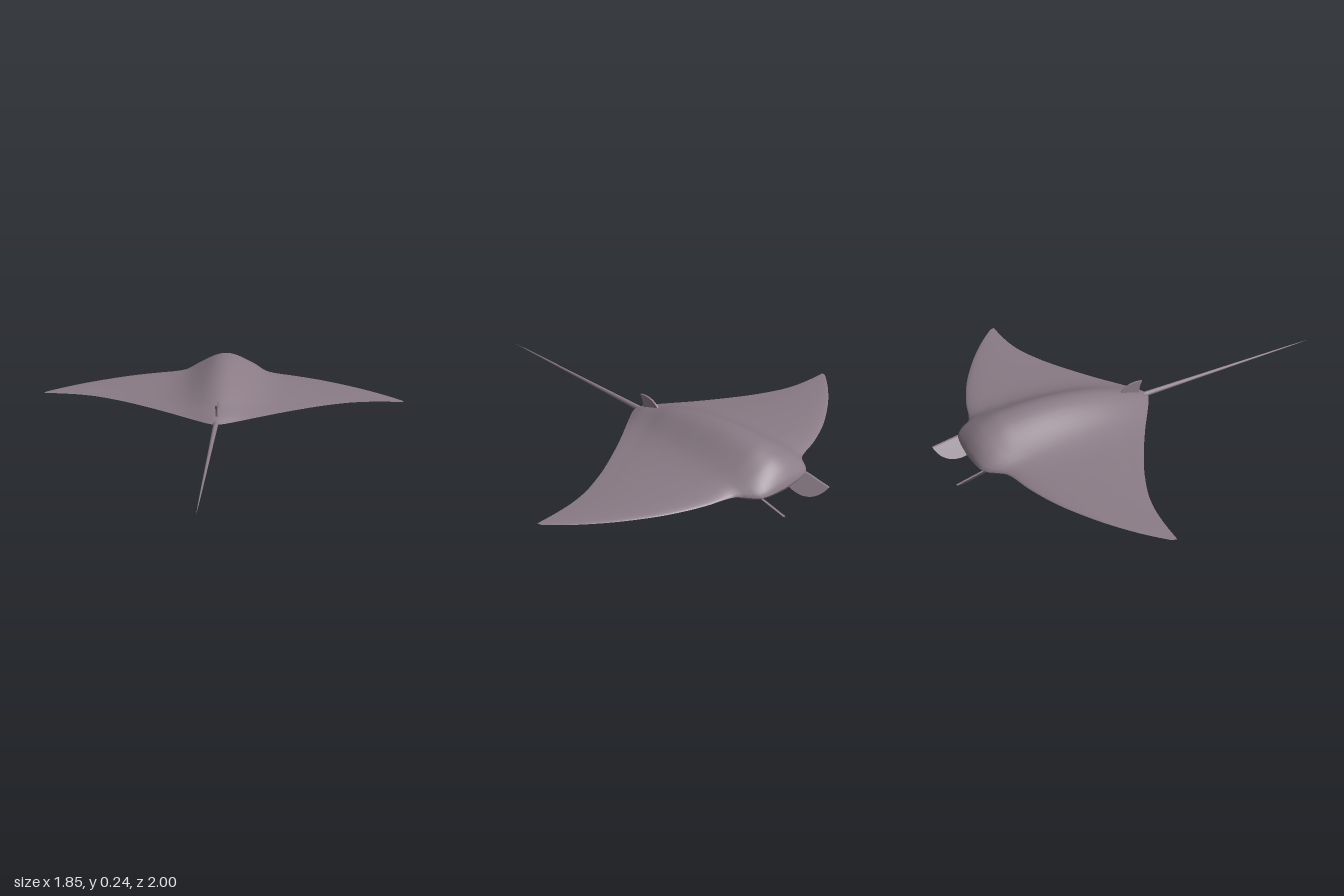
import * as THREE from 'three';

// Smooth monotone curve through [x, y] points, flat at both ends
function curve(pts) {
  const n = pts.length;
  const d = pts.slice(1).map((p, i) => (p[1] - pts[i][1]) / (p[0] - pts[i][0]));
  const m = pts.map((p, i) => {
    if (i === 0 || i === n - 1) return d[Math.min(i, n - 2)];
    const a = d[i - 1], b = d[i];
    return a * b > 0 ? (2 * a * b) / (a + b) : 0;
  });
  return (x) => {
    let i = 0;
    while (i < n - 2 && x > pts[i + 1][0]) i++;
    const [x0, y0] = pts[i], [x1, y1] = pts[i + 1], h = x1 - x0;
    const t = THREE.MathUtils.clamp((x - x0) / h, 0, 1), s = 1 - t;
    return y0 * s * s * (1 + 2 * t) + y1 * t * t * (3 - 2 * t) + h * t * s * (m[i] * s - m[i + 1] * t);
  };
}

const SPAN = 0.925, MID = 0.1;

// Plan outline of the head and wings, as z against distance from the centre
const leading = curve([[0, -0.895], [0.08, -0.89], [0.13, -0.882], [0.155, -0.872], [0.185, -0.835], [0.22, -0.795],
  [0.36, -0.752], [0.5, -0.695], [0.67, -0.597], [0.8, -0.502], [0.9, -0.412], [0.92, -0.39], [SPAN, -0.372]]);
const trailing = curve([[0, 0.03], [0.03, 0.02], [0.11, -0.03], [0.24, -0.12], [0.4, -0.22], [0.53, -0.29],
  [0.67, -0.345], [0.77, -0.364], [0.86, -0.37], [SPAN, -0.371]]);

// Thickness across the span, above and below the middle plane
const rise = curve([[0, 0.141], [0.02, 0.139], [0.05, 0.131], [0.1, 0.105], [0.15, 0.075], [0.2, 0.051], [0.25, 0.037],
  [0.3, 0.029], [0.4, 0.022], [0.6, 0.013], [0.8, 0.005], [SPAN, 0]]);
const drop = curve([[0, 0.096], [0.02, 0.094], [0.05, 0.087], [0.1, 0.07], [0.15, 0.05], [0.2, 0.035], [0.3, 0.022],
  [0.4, 0.017], [0.6, 0.01], [0.8, 0.004], [SPAN, 0]]);

// Section along the chord, from leading to trailing edge
const section = curve([[0, 0], [0.006, 0.14], [0.02, 0.3], [0.05, 0.53], [0.1, 0.75], [0.2, 0.95], [0.35, 1],
  [0.5, 0.94], [0.65, 0.78], [0.75, 0.62], [0.85, 0.39], [0.95, 0.17], [1, 0.01]]);

// One side of the body as a grid: dir is 1 for the back and -1 for the belly
function sheet(dir) {
  const cols = 120, rows = 48, geo = new THREE.PlaneGeometry(1, 1, cols, rows), pos = geo.attributes.position;
  for (let i = 0; i < pos.count; i++) {
    const s = (pos.getX(i) * 2) * dir;
    const x = SPAN * Math.sin((s * Math.PI) / 2), a = Math.min(Math.abs(x), SPAN);
    const v = 0.5 - pos.getY(i);
    const u = v * v * (2 - v); // finer rows at the leading edge
    const z = THREE.MathUtils.lerp(leading(a), trailing(a), u);
    pos.setXYZ(i, x, MID + dir * (dir > 0 ? rise(a) : drop(a)) * section(u), z);
  }
  geo.computeVertexNormals();
  return geo;
}

// Thin upright plate from a side outline in (-z, y)
function plate(shape, thickness) {
  const geo = new THREE.ExtrudeGeometry(shape, { depth: thickness, bevelEnabled: false, curveSegments: 12 });
  geo.translate(0, 0, -thickness / 2);
  geo.rotateY(Math.PI / 2);
  return geo;
}

export function createModel() {
  const group = new THREE.Group();
  const skin = new THREE.MeshStandardMaterial({ color: 0x8a7b85 });
  skin.name = 'greyMauve';
  const add = (name, geo) => {
    const mesh = new THREE.Mesh(geo, skin);
    mesh.name = name;
    group.add(mesh);
    return mesh;
  };

  // Head, body and wings
  add('upperBody', sheet(1));
  add('lowerBody', sheet(-1));

  // Whip tail
  const tailProfile = [[0, -0.06], [0.008, -0.04], [0.013, 0], [0.012, 0.08], [0.009, 0.3], [0.006, 0.6], [0.003, 0.87], [0, 1]];
  const tail = new THREE.LatheGeometry(tailProfile.map(([r, l]) => new THREE.Vector2(r, l)), 12);
  tail.rotateX(Math.PI / 2);
  tail.translate(0, MID, 0);
  add('tail', tail);

  // Small fin at the root of the tail
  const fin = new THREE.Shape();
  fin.moveTo(0.02, 0.105);
  fin.quadraticCurveTo(0.02, 0.15, 0, 0.185);
  fin.quadraticCurveTo(0.07, 0.2, 0.115, 0.155);
  fin.lineTo(0.12, 0.125);
  add('dorsalFin', plate(fin, 0.009));

  // Paired scoop fins beside the mouth, leaning inward towards the bottom
  const scoop = new THREE.Shape();
  scoop.moveTo(0.8, 0.085);
  scoop.lineTo(0.88, 0.097);
  scoop.lineTo(1, 0.075);
  scoop.bezierCurveTo(0.98, 0.025, 0.92, 0.006, 0.83, 0.04);
  const scoopGeo = plate(scoop, 0.01);
  const pos = scoopGeo.attributes.position;
  for (let i = 0; i < pos.count; i++) {
    const lean = 0.9 * (pos.getY(i) - 0.075) + 0.2 * (-pos.getZ(i) - 1);
    pos.setX(i, pos.getX(i) + 0.15 + lean);
  }
  scoopGeo.computeVertexNormals();
  add('leftMouthFin', scoopGeo);
  add('rightMouthFin', scoopGeo).scale.x = -1;

  return group;
}
